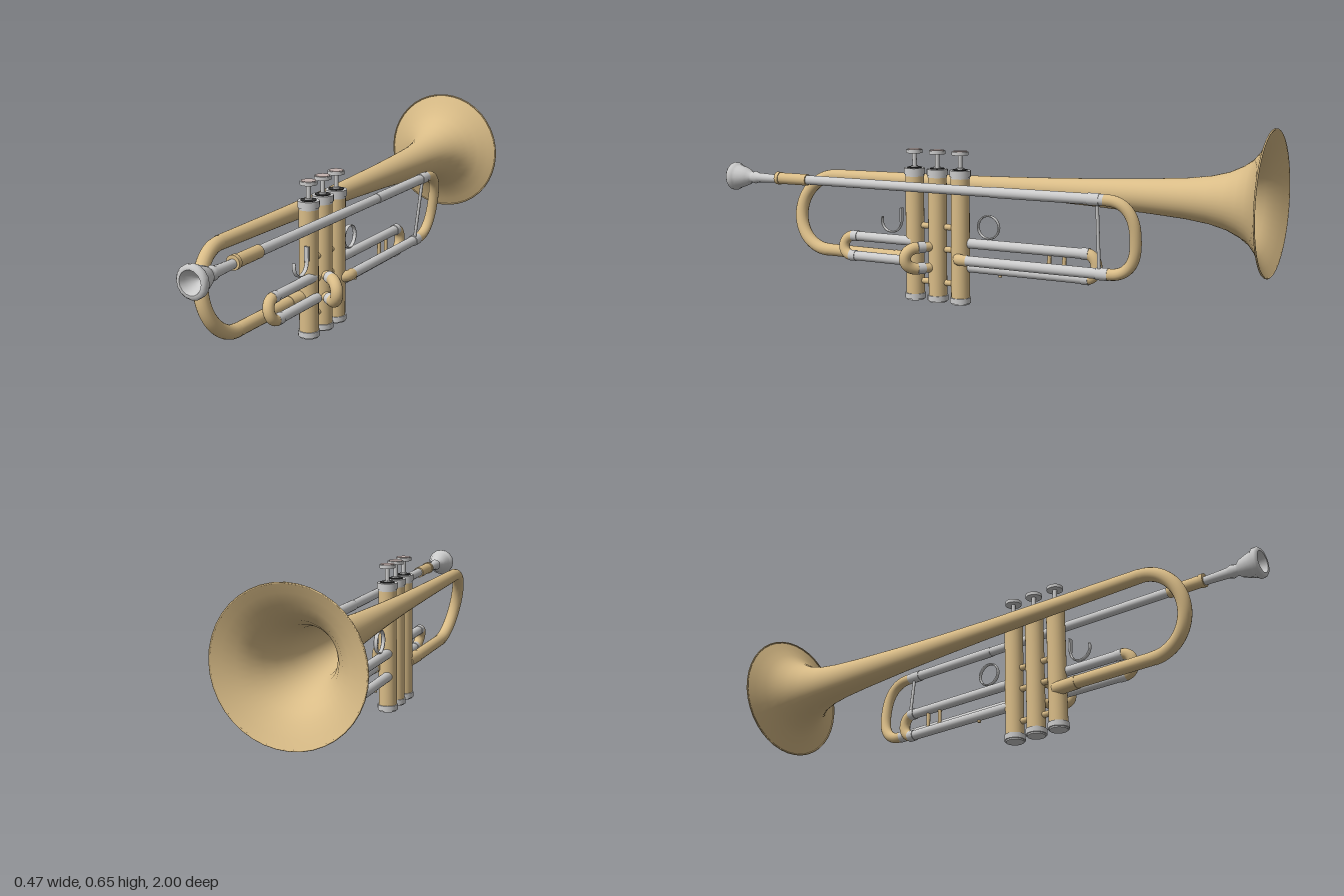
import * as THREE from 'three';

const brass = new THREE.MeshStandardMaterial({ color: 0xd9bc87, side: THREE.DoubleSide });
const silver = new THREE.MeshStandardMaterial({ color: 0xcccccc, side: THREE.DoubleSide });
const felt = new THREE.MeshStandardMaterial({ color: 0x333333 });
const pearl = new THREE.MeshStandardMaterial({ color: 0xc4b2ae });
const V = (x, y, z) => new THREE.Vector3(x, y, z);

export function createModel() {
  const model = new THREE.Group();
  model.name = 'trumpet';

  const add = (name, geometry, material, parent = model) => {
    const mesh = new THREE.Mesh(geometry, material);
    mesh.name = name;
    parent.add(mesh);
    return mesh;
  };

  // straight round bar between two points
  const rod = (name, a, b, r, material, sides = 20) => {
    const mesh = add(name, new THREE.CylinderGeometry(r, r, a.distanceTo(b), sides), material);
    mesh.position.copy(a).add(b).multiplyScalar(0.5);
    mesh.quaternion.setFromUnitVectors(V(0, 1, 0), b.clone().sub(a).normalize());
    return mesh;
  };

  // U-shaped tube from a to b, bulging by the vector depth; power < 1 squares it off
  const bend = (name, a, b, depth, r, material = brass, power = 1) => {
    const mid = a.clone().add(b).multiplyScalar(0.5);
    const half = a.clone().sub(b).multiplyScalar(0.5);
    const pts = [];
    for (let i = 0; i <= 16; i++) {
      const t = (i / 16) * Math.PI;
      const c = Math.sign(Math.cos(t)) * Math.abs(Math.cos(t)) ** power;
      const s = Math.max(0, Math.sin(t)) ** power;
      pts.push(mid.clone().addScaledVector(half, c).addScaledVector(depth, s));
    }
    return add(name, new THREE.TubeGeometry(new THREE.CatmullRomCurve3(pts), 40, r, 16), material);
  };

  // turned part along z, profile given as [radius, z] with z rising
  const turned = (name, profile, x, y, material, sides = 32) => {
    const mesh = add(name, new THREE.LatheGeometry(profile.map(p => new THREE.Vector2(...p)), sides), material);
    mesh.rotation.x = Math.PI / 2;
    mesh.position.set(x, y, 0);
    return mesh;
  };

  // bell with its rolled rim
  const bellX = -0.003, pipeY = 0.415;
  turned('bell', [[0.235, -1], [0.205, -0.985], [0.17, -0.965], [0.14, -0.94], [0.115, -0.905], [0.094, -0.86],
    [0.078, -0.8], [0.067, -0.72], [0.058, -0.6], [0.047, -0.4], [0.039, -0.2], [0.033, 0], [0.028, 0.3], [0.024, 0.645]],
    bellX, pipeY, brass, 40);
  const rim = add('bellRim', new THREE.TorusGeometry(0.234, 0.003, 8, 40), brass);
  rim.position.set(bellX, pipeY, -0.997);

  // bell bow and the tube leading back to the first valve
  bend('bellBow', V(bellX, pipeY, 0.64), V(0.055, 0.143, 0.64), V(0, 0, 0.138), 0.0235);
  rod('bellTail', V(0.055, 0.143, 0.642), V(0.058, 0.143, 0.33), 0.0225, brass);
  rod('bellTailFerrule', V(0.058, 0.143, 0.345), V(0.065, 0.143, 0.25), 0.024, brass);

  // three piston valves
  const valveX = 0.079, valveZ = [0.25, 0.158, 0.067];
  valveZ.forEach((z, i) => {
    const valve = new THREE.Group();
    valve.name = 'valve' + (i + 1);
    valve.position.set(valveX, 0, z);
    model.add(valve);
    const part = (name, r, y0, y1, material) => {
      const mesh = add(name, new THREE.CylinderGeometry(r, r, y1 - y0, 24), material, valve);
      mesh.position.y = (y0 + y1) / 2;
    };
    part('casing', 0.033, 0.02, 0.455, brass);
    part('bottomCap', 0.037, 0.005, 0.024, silver);
    part('bottomCapFoot', 0.032, 0, 0.01, silver);
    part('topCap', 0.037, 0.452, 0.474, silver);
    part('topCapRim', 0.034, 0.445, 0.453, silver);
    part('felt', 0.026, 0.47, 0.477, felt);
    part('stemCollar', 0.013, 0.475, 0.482, silver);
    part('stem', 0.008, 0.474, 0.53, silver);
    part('button', 0.029, 0.527, 0.539, silver);
    part('buttonInlay', 0.025, 0.535, 0.541, pearl);
  });

  // short tubes joining neighbouring valves
  for (let i = 0; i < 2; i++)
    for (const y of [0.07, 0.19, 0.27])
      rod('valveLink', V(valveX, y, valveZ[i]), V(valveX, y, valveZ[i + 1]), 0.011, brass, 12);

  // mouthpiece with open cup
  const leadX = 0.152;
  turned('mouthpiece', [[0.014, 0.78], [0.018, 0.88], [0.023, 0.895], [0.02, 0.905], [0.02, 0.915], [0.029, 0.925],
    [0.037, 0.945], [0.043, 0.965], [0.046, 0.975], [0.052, 0.98], [0.052, 0.993], [0.046, 1], [0.037, 1],
    [0.032, 0.99], [0.022, 0.965], [0.009, 0.95]].slice(0, 13), leadX, 0.412, silver, 16);
  const cup = turned('mouthpieceCup', [[0.008, 0.93], [0.009, 0.95], [0.022, 0.963], [0.031, 0.985], [0.037, 1]],
    leadX, 0.412, silver, 16);
  cup.name = 'mouthpieceCup';

  // leadpipe, receiver and ferrules
  rod('receiver', V(leadX, pipeY, 0.79), V(leadX, pipeY, 0.66), 0.021, brass);
  rod('receiverRing', V(leadX, pipeY, 0.795), V(leadX, pipeY, 0.78), 0.0235, brass);
  rod('leadpipe', V(leadX, pipeY, 0.67), V(leadX, pipeY, -0.1), 0.017, silver);
  rod('leadpipeSleeve', V(leadX, pipeY, -0.09), V(leadX, pipeY, -0.5), 0.0185, silver);
  rod('leadpipeFerrule', V(leadX, pipeY, -0.44), V(leadX, pipeY, -0.48), 0.0205, silver);

  // main tuning slide, returning to the third valve
  const lowX = 0.118, lowY = 0.165;
  bend('tuningBow', V(leadX, pipeY, -0.495), V(lowX, lowY, -0.495), V(0, 0, -0.103), 0.0195, brass, 0.8);
  rod('tuningTube', V(lowX, lowY, -0.5), V(lowX, lowY, 0.03), 0.018, silver);
  rod('tuningFerrule', V(lowX, lowY, -0.46), V(lowX, lowY, -0.5), 0.021, silver);
  add('tuningElbow', new THREE.TubeGeometry(new THREE.CatmullRomCurve3(
    [V(lowX, lowY, 0.02), V(lowX, lowY, 0.045), V(0.108, lowY, 0.06), V(valveX, lowY, 0.067)]), 16, 0.02, 16), brass);
  rod('tuningBrace', V(leadX - 0.002, 0.41, -0.47), V(lowX + 0.004, 0.175, -0.47), 0.006, silver, 10);

  // third valve slide, pointing to the back
  const thirdX = 0.072;
  for (const y of [0.218, 0.133]) {
    rod('thirdSlideTube', V(thirdX, y, 0.06), V(thirdX, y, -0.41), 0.018, silver);
    rod('thirdSlideFerrule', V(thirdX, y, -0.39), V(thirdX, y, -0.415), 0.0205, silver);
  }
  bend('thirdSlideBow', V(thirdX, 0.218, -0.405), V(thirdX, 0.133, -0.405), V(0, 0, -0.036), 0.0195);
  for (const z of [-0.27, -0.325])
    rod('thirdSlidePost', V(thirdX, 0.21, z), V(thirdX, 0.14, z), 0.007, brass, 10);
  rod('thirdSlideStop', V(thirdX, 0.13, -0.085), V(thirdX, 0.108, -0.085), 0.006, brass, 10);

  // first valve slide, pointing to the front
  const first = [V(0.096, 0.213, 0), V(0.112, 0.143, 0)];
  const at = (p, z) => V(p.x, p.y, z);
  for (const p of first) {
    rod('firstSlideTube', at(p, 0.25), at(p, 0.5), 0.0175, silver);
    rod('firstSlideFerrule', at(p, 0.48), at(p, 0.505), 0.0195, silver);
  }
  bend('firstSlideBow', at(first[0], 0.5), at(first[1], 0.5), V(0, 0, 0.036), 0.019);

  // second valve slide, a small loop to the side
  const legs = [0.2, 0.125].map(y => [V(valveX, y, 0.158), V(0.143, y, 0.205)]);
  for (const [a, b] of legs) {
    rod('secondSlideTube', a, b, 0.017, brass);
    rod('secondSlideFerrule', a.clone().lerp(b, 0.65), b, 0.0205, silver);
  }
  bend('secondSlideBow', legs[0][1], legs[1][1], V(0.035, 0, 0.03), 0.021);

  // flat finger ring and thumb hook, each a bent band
  const band = (name, start, sweep, x, y, z) => {
    const mesh = add(name, new THREE.TorusGeometry(0.04, 0.0035, 8, 32, sweep), silver);
    mesh.geometry.rotateZ(start).scale(1, 1, 2.2).rotateY(-Math.PI / 2);
    mesh.position.set(x, y, z);
  };
  band('fingerRing', 0, Math.PI * 2, thirdX, 0.28, -0.04);
  band('thumbHook', Math.PI, Math.PI * 1.1, 0.098, 0.28, 0.335);
  const tip = add('thumbHookTip', new THREE.BoxGeometry(0.016, 0.05, 0.007), silver);
  tip.position.set(0.098, 0.305, 0.295);

  return model;
}
